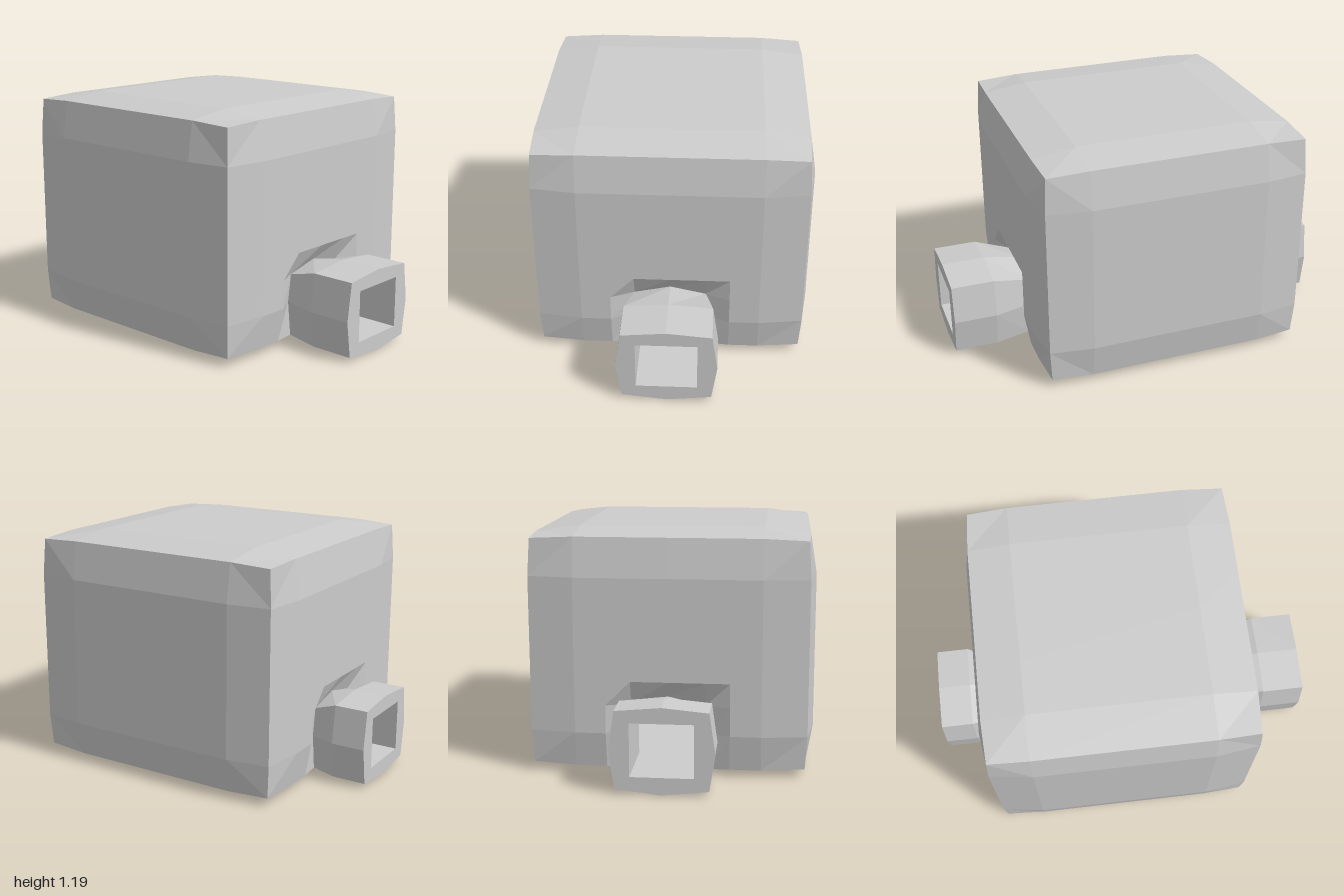
import * as THREE from 'three';

// Grid stations of the bulged body, denser around the ports
const STATIONS = [
  [-0.7, -0.45, -0.3, -0.18, 0, 0.18, 0.3, 0.45, 0.7],
  [0.005, 0.21, 0.35, 0.47, 0.97, 1.19],
  [-0.745, -0.5, 0.4, 0.65],
];
const NECK_Z = { front: 0.6, back: -0.7 };

// Right half of a port outline, from bottom centre to top centre, mirrored into a full ring
const ring = (half, z) => [
  ...half.map(([x, y]) => [x, y, z]),
  ...half.slice(1, -1).reverse().map(([x, y]) => [-x, y, z]),
];
const PORT = [[0, 0], [0.22, 0.025], [0.247, 0.21], [0.22, 0.4], [0, 0.42]];
const NECK = [[0, 0.01], [0.18, 0.03], [0.2, 0.21], [0.18, 0.35], [0, 0.39]];
const rect = (w, y0, y1, z) => [[w, y0, z], [w, y1, z], [-w, y1, z], [-w, y0, z]];
const OPENING = [0.15, 0.085, 0.343];
const CHAMBER = [0.6, 0.085, 1.09];

// Faceted geometry from a list of quads
function quadsToGeometry(quads) {
  const pos = [];
  for (const [a, b, c, d] of quads) pos.push(...a, ...b, ...c, ...a, ...c, ...d);
  const geo = new THREE.BufferGeometry();
  geo.setAttribute('position', new THREE.Float32BufferAttribute(pos, 3));
  geo.computeVertexNormals();
  return geo;
}

// Skin between successive rings
function loft(rings) {
  const quads = [];
  for (let r = 0; r < rings.length - 1; r++) {
    const a = rings[r], b = rings[r + 1];
    a.forEach((p, i) => {
      const j = (i + 1) % a.length;
      quads.push([p, a[j], b[j], b[i]]);
    });
  }
  return quadsToGeometry(quads);
}

// Body vertex: edges and corners pull inwards, and the port necks are recessed
function bodyPoint(idx) {
  const ends = idx.map((n, a) => (n === 0 ? 1 : n === STATIONS[a].length - 1 ? -1 : 0));
  const pull = [0, 0, 0.03, 0.04][ends.filter((e) => e !== 0).length];
  const p = idx.map((n, a) => STATIONS[a][n] + ends[a] * pull);
  if (ends[2] !== 0 && Math.abs(p[0]) < 0.2 && idx[1] < 3) {
    const side = Math.sign(p[0]);
    const [x, y] = side === 0 ? [0, [0.01, 0.21, 0.39][idx[1]]] : NECK[idx[1] + 1];
    return [x * side, y, ends[2] < 0 ? NECK_Z.front : NECK_Z.back];
  }
  return p;
}

function bodyGeometry() {
  const quads = [];
  for (let a = 0; a < 3; a++) {
    const b = (a + 1) % 3, c = (a + 2) % 3;
    for (const end of [0, STATIONS[a].length - 1]) {
      for (let i = 0; i < STATIONS[b].length - 1; i++) {
        for (let j = 0; j < STATIONS[c].length - 1; j++) {
          // leave the port holes open in the front and back
          if (a === 2 && i >= 3 && i <= 4 && j < 2) continue;
          const at = (u, v) => {
            const idx = [0, 0, 0];
            idx[a] = end; idx[b] = i + u; idx[c] = j + v;
            return bodyPoint(idx);
          };
          const q = [at(0, 0), at(1, 0), at(1, 1), at(0, 1)];
          quads.push(end ? q : q.reverse());
        }
      }
    }
  }
  return quadsToGeometry(quads);
}

// Flat port face with its square opening
function rimGeometry(front) {
  const toV2 = (pts) => pts.map(([x, y]) => new THREE.Vector2(x, y));
  const shape = new THREE.Shape(toV2(ring(PORT, 0)));
  shape.holes.push(new THREE.Path(toV2(rect(...OPENING, 0))));
  const geo = new THREE.ShapeGeometry(shape);
  if (!front) geo.rotateY(Math.PI);
  return geo.translate(0, 0, front ? 1 : -1);
}

export function createModel() {
  const group = new THREE.Group();
  const grey = new THREE.MeshStandardMaterial({ color: 0xcccccc });
  grey.name = 'plainGrey';
  const add = (name, geo) => {
    const mesh = new THREE.Mesh(geo, grey);
    mesh.name = name;
    group.add(mesh);
  };

  add('body', bodyGeometry());

  // Ports, narrowing to a neck where they meet the body
  add('frontPort', loft([ring(NECK, NECK_Z.front), ring(PORT, 0.78), ring(PORT, 1)]));
  add('backPort', loft([ring(PORT, -1), ring(PORT, -0.83), ring(NECK, NECK_Z.back)]));
  add('frontPortRim', rimGeometry(true));
  add('backPortRim', rimGeometry(false));

  // Hollow interior: tunnel, chamber, tunnel
  add('innerChamber', loft([
    rect(...OPENING, 1), rect(...OPENING, 0.55),
    rect(...CHAMBER, 0.55), rect(...CHAMBER, -0.65),
    rect(...OPENING, -0.65), rect(...OPENING, -1),
  ]));
  return group;
}
